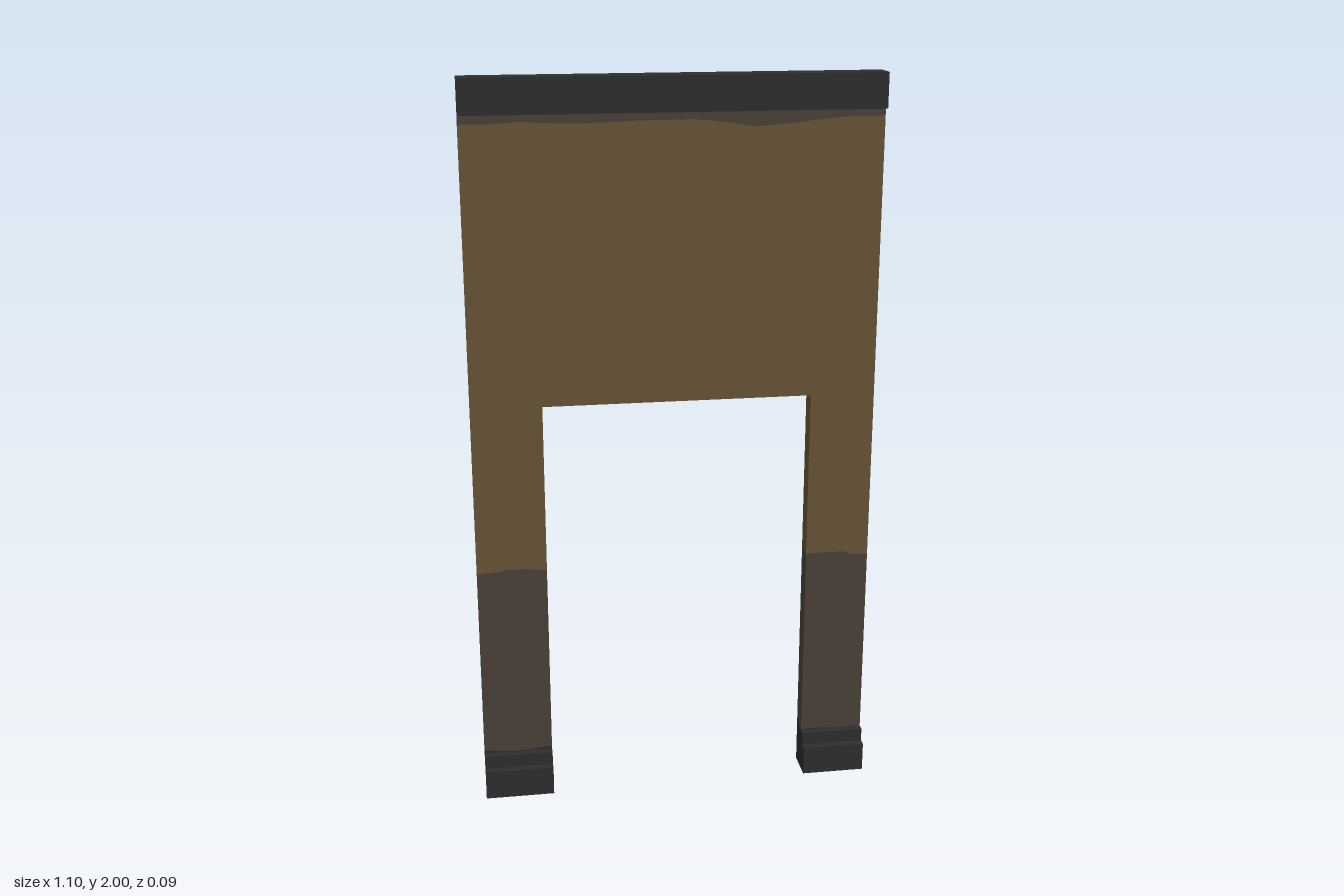
import * as THREE from 'three';

const makeMaterial = (name, color) =>
  new THREE.MeshStandardMaterial({ name, color, side: THREE.DoubleSide });

// Main dimensions
const X0 = -0.549, X1 = 0.549;          // outer sides
const L = -0.357, R = 0.372;            // doorway sides
const HEAD = 1.143;                     // doorway top
const WALL = 0.004, STEP = 0.024, FRONT = 0.046, BACK = -0.046; // z planes
const BASE = 0.12, CORNICE = 1.908, TOP = 2;

// Wavy colour boundaries, left to right as [x, y]
const topEdge = [[X0, 1.886], [-0.48, 1.884], [-0.4, 1.888], [-0.25, 1.882], [-0.1, 1.887],
  [0.05, 1.888], [0.13, 1.88], [0.2, 1.868], [0.26, 1.87], [0.36, 1.88], [0.45, 1.888], [X1, 1.888]];
const legEdges = [
  [[X0, 0.674], [-0.5, 0.676], [-0.46, 0.683], [-0.41, 0.681], [L, 0.674]],
  [[R, 0.678], [0.48, 0.679], [0.5, 0.668], [X1, 0.668]],
];
const footEdges = [
  [[X0, 0.13], [-0.52, 0.128], [-0.48, 0.123], [-0.42, 0.123], [-0.39, 0.129], [L, 0.129]],
  [[R, 0.123], [0.42, 0.125], [0.46, 0.121], [X1, 0.121]],
];

export function createModel() {
  const group = new THREE.Group();
  const plaster = makeMaterial('brown plaster', 0x675335);
  const grime = makeMaterial('dark plaster', 0x4a4137);
  const trim = makeMaterial('charcoal trim', 0x2e2e2e);

  const add = (name, geometry, material) => {
    const mesh = new THREE.Mesh(geometry, material);
    mesh.name = name;
    group.add(mesh);
  };

  // Flat sheet in the wall plane, facing +z
  const sheet = (name, points, material, z = WALL) => {
    const shape = new THREE.Shape(points.map(([x, y]) => new THREE.Vector2(x, y)));
    add(name, new THREE.ShapeGeometry(shape).translate(0, 0, z), material);
  };

  // Flat sheet across the wall thickness at one x, points as [z, y], facing +x or -x
  const sideSheet = (name, points, x, facing, material) => {
    const shape = new THREE.Shape(points.map(([z, y]) => new THREE.Vector2(-facing * z, y)));
    const geometry = new THREE.ShapeGeometry(shape).rotateY(facing * Math.PI / 2);
    add(name, geometry.translate(x, 0, 0), material);
  };

  // Open moulding: a [z, y] profile, listed downwards, swept along x
  const moulding = (name, profile, xa, xb, material) => {
    const pos = [];
    for (let i = 0; i < profile.length - 1; i++) {
      const [za, ya] = profile[i], [zb, yb] = profile[i + 1];
      pos.push(xa, ya, za, xa, yb, zb, xb, yb, zb, xa, ya, za, xb, yb, zb, xb, ya, za);
    }
    const geometry = new THREE.BufferGeometry();
    geometry.setAttribute('position', new THREE.Float32BufferAttribute(pos, 3));
    geometry.computeVertexNormals();
    add(name, geometry, material);
  };

  // Wall around the doorway, with a stained strip below the cornice
  sheet('wall', [...legEdges[0], [L, HEAD], [R, HEAD], ...legEdges[1],
    ...[...topEdge].reverse()], plaster);
  sheet('stainedStrip', [...topEdge, [X1, CORNICE], [X0, CORNICE]], grime);

  // Legs: dark lower wall, doorway reveal and stepped base
  const baseProfile = [[WALL, BASE], [STEP, BASE], [STEP, 0.083], [FRONT, 0.083], [FRONT, 0]];
  [['right', X0, L, L, 1], ['left', R, X1, R, -1]].forEach(([side, xa, xb, door, facing], i) => {
    const leg = legEdges[i], foot = footEdges[i];
    sheet(side + 'LowerWall', [...foot, ...[...leg].reverse()], grime);
    sheet(side + 'FootStain', [[xa, BASE], [xb, BASE], ...[...foot].reverse()], trim);

    const band = (y0, y1) => [[BACK, y0], [WALL, y0], [WALL, y1], [BACK, y1]];
    sideSheet(side + 'Reveal', band(0.675, HEAD), door, facing, plaster);
    sideSheet(side + 'LowerReveal', band(BASE, 0.675), door, facing, grime);
    sideSheet(side + 'BaseEnd', [[BACK, 0], [BACK, BASE], ...baseProfile], door, facing, trim);
    moulding(side + 'Base', baseProfile, xa, xb, trim);
  });

  // Underside of the doorway head
  moulding('doorwayHead', [[WALL, HEAD], [BACK, HEAD]], L, R, plaster);

  // Cornice: top, front and underside
  moulding('cornice', [[BACK, TOP], [STEP, TOP], [STEP, CORNICE], [WALL, CORNICE]], X0, X1, trim);

  return group;
}
